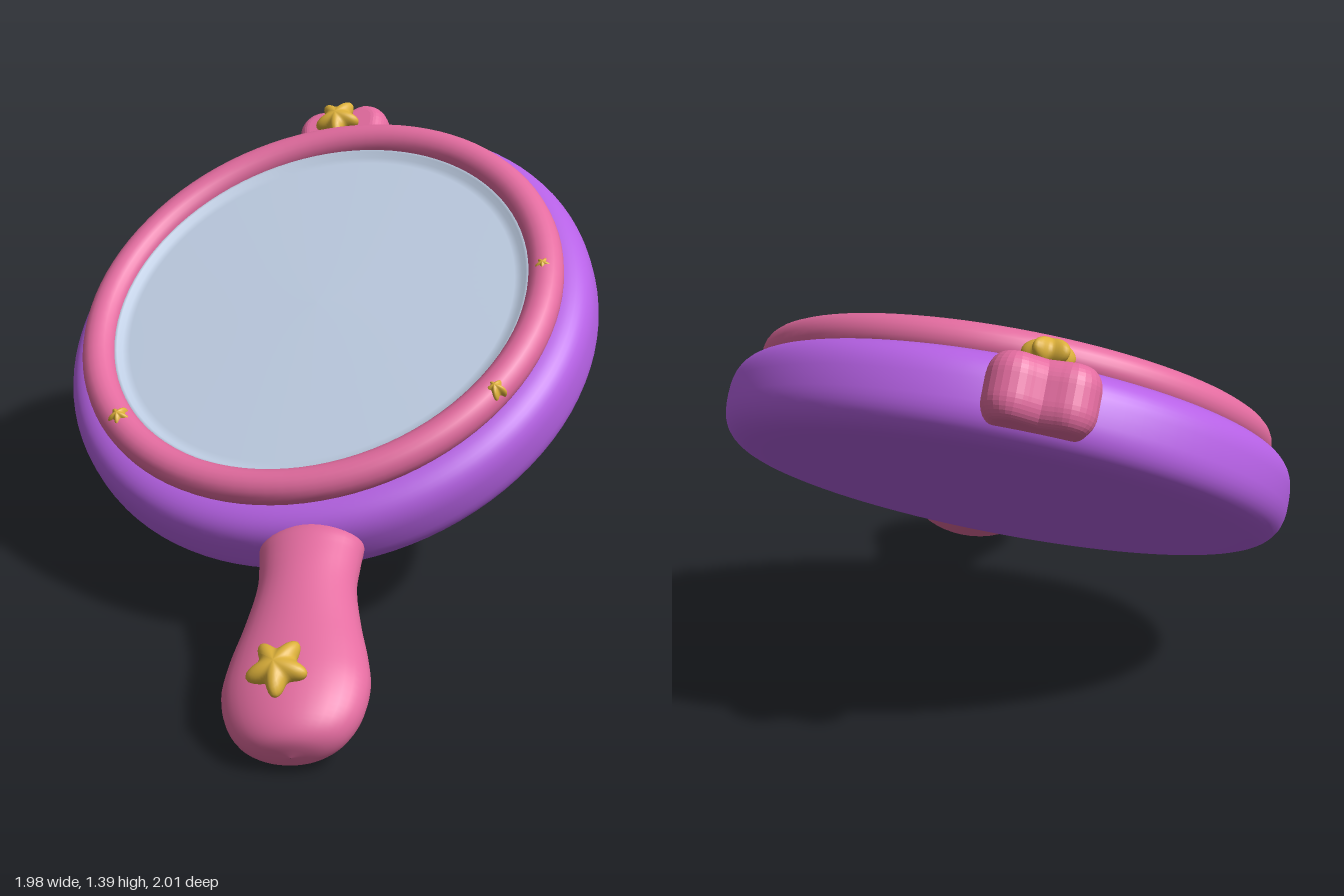
import * as THREE from 'three';

const PURPLE = new THREE.MeshStandardMaterial({ name: 'purple body', color: 0xb661e5 });
const PINK = new THREE.MeshStandardMaterial({ name: 'pink trim', color: 0xe46ca0 });
const GLASS = new THREE.MeshStandardMaterial({ name: 'silver glass', color: 0xc0cfe5 });
const GOLD = new THREE.MeshStandardMaterial({ name: 'gold star', color: 0xdcb03a });

const v2 = (x, y) => new THREE.Vector2(x, y);

// Lathe whose axis is the mirror's facing direction (local +z), slightly oval
function disc(points, oval) {
  return new THREE.LatheGeometry(points, 96).rotateX(Math.PI / 2).scale(1, oval, 1);
}

// Rounded loft running down -y; each section is [distance, halfWidth, halfThickness, zOffset]
function loft(sections, sides = 36) {
  const curve = (k) => new THREE.CatmullRomCurve3(
    sections.map((s) => new THREE.Vector3(s[0], s[k], k)), false, 'centripetal');
  const [width, thick, lift] = [1, 2, 3].map(curve);
  const steps = 48, pos = [], idx = [];
  for (let i = 0; i <= steps; i++) {
    const w = width.getPoint(i / steps), t = thick.getPoint(i / steps), z = lift.getPoint(i / steps);
    for (let j = 0; j < sides; j++) {
      const a = (j / sides) * Math.PI * 2;
      pos.push(w.y * Math.cos(a), -w.x, z.y + t.y * Math.sin(a));
      if (i < steps) {
        const p = i * sides + j, q = i * sides + (j + 1) % sides;
        idx.push(p, q, p + sides, q, q + sides, p + sides);
      }
    }
  }
  const g = new THREE.BufferGeometry();
  g.setAttribute('position', new THREE.Float32BufferAttribute(pos, 3));
  g.setIndex(idx);
  g.computeVertexNormals();
  return g;
}

// Puffy five-pointed star: a flattened sphere pulled out into five arms
function starGeometry(r, halfHeight) {
  const g = new THREE.SphereGeometry(1, 60, 16).rotateX(Math.PI / 2);
  const p = g.attributes.position;
  for (let i = 0; i < p.count; i++) {
    const x = p.getX(i), y = p.getY(i);
    const arm = Math.pow((1 + Math.cos(5 * (Math.atan2(y, x) - Math.PI / 2))) / 2, 1.3);
    const d = r * (0.62 + 0.38 * arm);
    p.setXYZ(i, x * d, y * d, p.getZ(i) * halfHeight);
  }
  g.computeVertexNormals();
  return g;
}

export function createModel() {
  const model = new THREE.Group();
  model.name = 'handMirror';

  // Tilted frame: z faces out of the glass, -y runs down the handle
  const tilt = new THREE.Group();
  tilt.name = 'tiltedMirror';
  const zAxis = new THREE.Vector3(0.115, 0.857, 0.5).normalize();
  const yAxis = new THREE.Vector3(-0.84, 0.59, -0.97);
  yAxis.addScaledVector(zAxis, -yAxis.dot(zAxis)).normalize();
  const xAxis = new THREE.Vector3().crossVectors(yAxis, zAxis);
  tilt.quaternion.setFromRotationMatrix(new THREE.Matrix4().makeBasis(xAxis, yAxis, zAxis));
  tilt.position.set(-0.085, 0.775, -0.19);
  model.add(tilt);

  const add = (name, geometry, material) => {
    const mesh = new THREE.Mesh(geometry, material);
    mesh.name = name;
    tilt.add(mesh);
    return mesh;
  };

  // Round body with a soft, slightly squared rim
  const soft = (t) => Math.sign(t) * Math.pow(Math.abs(t), 0.74);
  const profile = [v2(0, -0.146), v2(0.4, -0.146), v2(0.7, -0.146)];
  for (let i = 0; i <= 24; i++) {
    const a = -Math.PI / 2 + (i / 24) * Math.PI;
    profile.push(v2(0.765 + 0.15 * soft(Math.max(0, Math.cos(a))), -0.006 + 0.14 * soft(Math.sin(a))));
  }
  profile.push(v2(0.7, 0.134), v2(0, 0.134));
  add('body', disc(profile, 0.985), PURPLE).position.x = 0.004;

  // Frame ring and glass with a slightly raised lip
  const ring = add('frameRing', new THREE.TorusGeometry(0.776, 0.058, 20, 96).scale(1, 0.974, 1), PINK);
  ring.position.set(0.007, 0.006, 0.163);
  const glass = add('glass', disc([v2(0.745, 0.12), v2(0.74, 0.155), v2(0.726, 0.172), v2(0.71, 0.172),
    v2(0.695, 0.157), v2(0.67, 0.155), v2(0.4, 0.164), v2(0, 0.168)], 0.974), GLASS);
  glass.position.set(0.007, 0.006, 0);

  // Handle with a collar at the body and a bulbous end
  add('handle', loft([
    [0.83, 0.001, 0.001, 0], [0.84, 0.12, 0.09, 0], [0.88, 0.166, 0.112, 0.004], [0.94, 0.163, 0.117, 0.009],
    [1.05, 0.157, 0.118, 0.022], [1.2, 0.183, 0.121, 0.037], [1.33, 0.215, 0.125, 0.049],
    [1.43, 0.228, 0.126, 0.055], [1.53, 0.207, 0.12, 0.055], [1.6, 0.16, 0.101, 0.055],
    [1.635, 0.1, 0.07, 0.055], [1.65, 0.001, 0.001, 0.055],
  ]), PINK);

  // Two-lobed ornament opposite the handle
  const half = [[0.045, 0.97], [0.085, 0.982], [0.114, 0.955], [0.113, 0.89], [0.115, 0.82], [0.07, 0.76]];
  const outline = [v2(0, 0.952), ...half.map(([x, y]) => v2(x, y)), v2(0, 0.74),
    ...half.slice().reverse().map(([x, y]) => v2(-x, y)), v2(0, 0.952)];
  const lobes = new THREE.Shape(new THREE.SplineCurve(outline).getPoints(60).slice(0, -1));
  const ornament = add('topOrnament', new THREE.ExtrudeGeometry(lobes, {
    depth: 0.06, bevelEnabled: true, bevelThickness: 0.07, bevelSize: 0.05, bevelSegments: 8,
  }), PINK);
  ornament.position.set(0.016, 0, -0.026);

  // Gold stars: [name, radius, half height, x, y, z] in model space
  const stars = [
    ['handleStar', 0.098, 0.045, 0.77, 0.278, 0.862],
    ['ornamentStar', 0.083, 0.043, -0.6, 1.318, -0.742],
    ['ringStarUpper', 0.034, 0.034, 0.567, 1.107, -0.524],
    ['ringStarMiddle', 0.036, 0.034, 0.73, 0.847, -0.118],
    ['ringStarLower', 0.039, 0.034, -0.325, 0.618, 0.538],
  ];
  const toLocal = tilt.quaternion.clone().invert();
  for (const [name, r, h, x, y, z] of stars) {
    const star = add(name, starGeometry(r, h), GOLD);
    star.position.set(x, y, z).sub(tilt.position).applyQuaternion(toLocal);
    star.rotation.z = -0.65;
  }
  return model;
}
